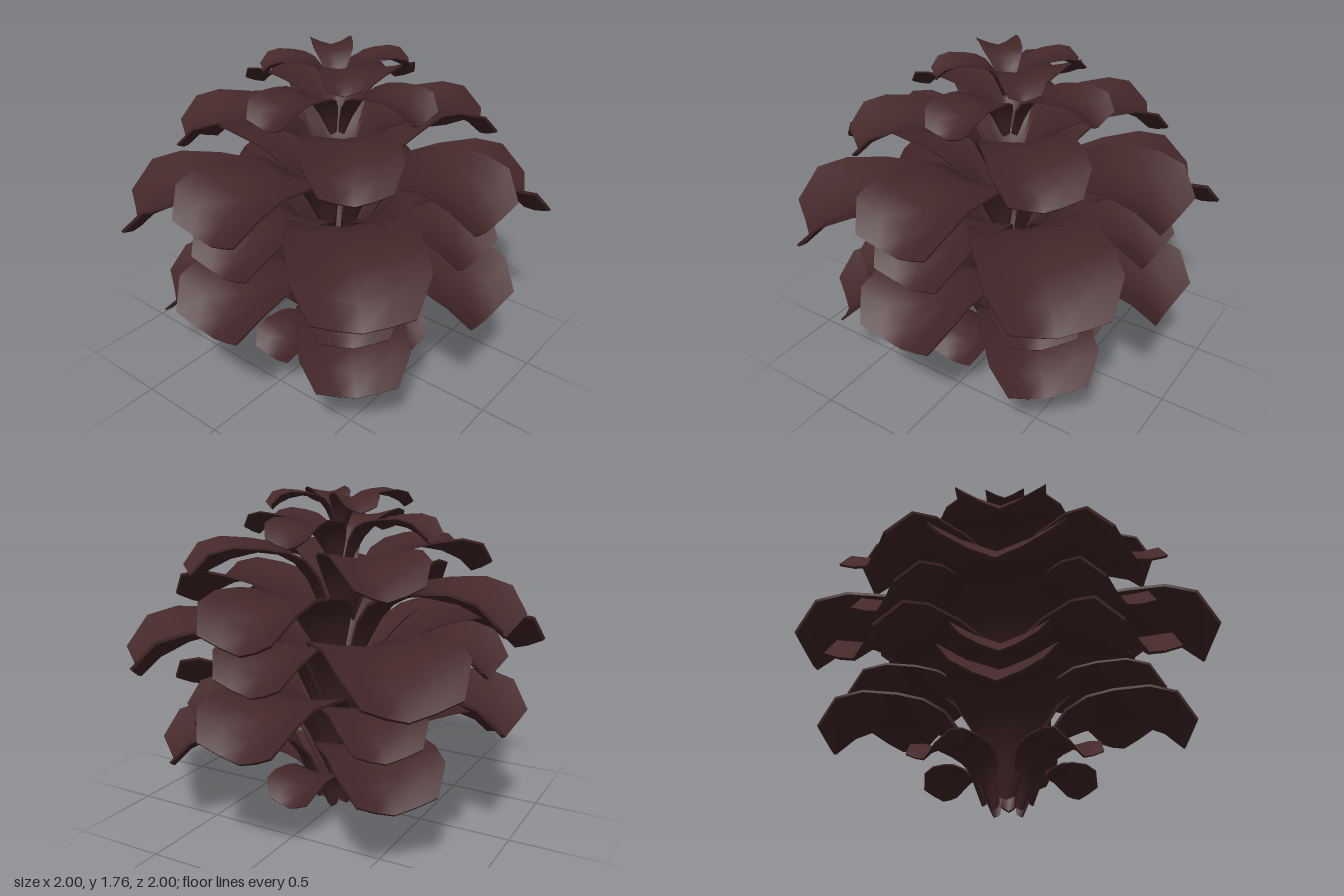
import * as THREE from 'three';
import { toCreasedNormals } from 'three/addons/utils/BufferGeometryUtils.js';

// Scale profile, base to tip, for a scale of reach 1:
// [centre reach, centre height, edge reach, edge height, half width]
const PROFILE = [
  [0.07, 0.00, 0.05, 0.03, 0.05],
  [0.13, 0.15, 0.10, 0.18, 0.10],
  [0.20, 0.30, 0.17, 0.33, 0.165],
  [0.29, 0.41, 0.27, 0.45, 0.225],
  [0.40, 0.47, 0.39, 0.51, 0.265],
  [0.54, 0.49, 0.54, 0.54, 0.28],
  [0.72, 0.455, 0.74, 0.557, 0.283],
  [0.86, 0.39, 0.89, 0.52, 0.28],
  [0.955, 0.305, 1.00, 0.39, 0.205],
];
const CREST = 0.557;
const ACROSS = [-1, -0.5, 0, 0.5, 1];

// Whorls from the ground up: [reach, crest height]; every second one is turned 45 degrees
const WHORLS = [
  [0.56, 0.316], [0.96, 0.58], [1.00, 0.82], [0.825, 0.745], [0.89, 1.08],
  [1.124, 1.125], [0.97, 1.32], [0.81, 1.51], [0.54, 1.64], [0.38, 1.76],
];

// Trough-shaped scale reaching toward +z, with a little thickness
function scaleGeometry(reach, offset) {
  const n = ACROSS.length, ring = 2 * n, last = PROFILE.length - 1;
  const thickness = 0.014 * reach;
  const positions = [], index = [];

  PROFILE.forEach(([cr, ch, er, eh, hw], j) => {
    const a = PROFILE[Math.max(j - 1, 0)], b = PROFILE[Math.min(j + 1, last)];
    const under = new THREE.Vector2(b[1] - a[1], a[0] - b[0]).normalize().multiplyScalar(thickness);
    const point = (v, side) => {
      const t = Math.pow(Math.abs(v), 1.3);
      const r = offset + (reach - offset) * THREE.MathUtils.lerp(cr, er, t);
      const h = reach * THREE.MathUtils.lerp(ch, eh, t);
      positions.push(hw * reach * v, h + under.y * side, r + under.x * side);
    };
    ACROSS.forEach((v) => point(v, 0));
    ACROSS.forEach((v) => point(-v, 1));
  });

  // Skin between neighbouring cross-sections
  for (let j = 0; j < last; j++) {
    for (let i = 0; i < ring; i++) {
      const k = (i + 1) % ring;
      const a = j * ring + i, b = a + ring, c = j * ring + k, d = c + ring;
      index.push(a, b, c, c, b, d);
    }
  }
  // Closed base and tip
  for (let i = 0; i < n - 1; i++) {
    const p = i, q = i + 1, s = ring - 2 - i, t = ring - 1 - i, e = last * ring;
    index.push(p, q, s, p, s, t);
    index.push(e + p, e + s, e + q, e + p, e + t, e + s);
  }

  const geometry = new THREE.BufferGeometry();
  geometry.setAttribute('position', new THREE.Float32BufferAttribute(positions, 3));
  geometry.setIndex(index);
  return toCreasedNormals(geometry, 0.95);
}

export function createModel() {
  const model = new THREE.Group();
  model.name = 'pineCone';
  const brown = new THREE.MeshStandardMaterial({ color: 0x442729 });
  brown.name = 'dark brown';

  WHORLS.forEach(([reach, top], level) => {
    const whorl = new THREE.Group();
    whorl.name = `whorl${level + 1}`;
    whorl.position.y = top - CREST * reach;
    // The core narrows toward the top
    const geometry = scaleGeometry(reach, 0.06 * (1 - level / (WHORLS.length - 1)));
    for (let i = 0; i < 4; i++) {
      const scale = new THREE.Mesh(geometry, brown);
      scale.name = `scale${i + 1}`;
      scale.rotation.y = (i + (level % 2) / 2) * Math.PI / 2;
      whorl.add(scale);
    }
    model.add(whorl);
  });
  return model;
}
